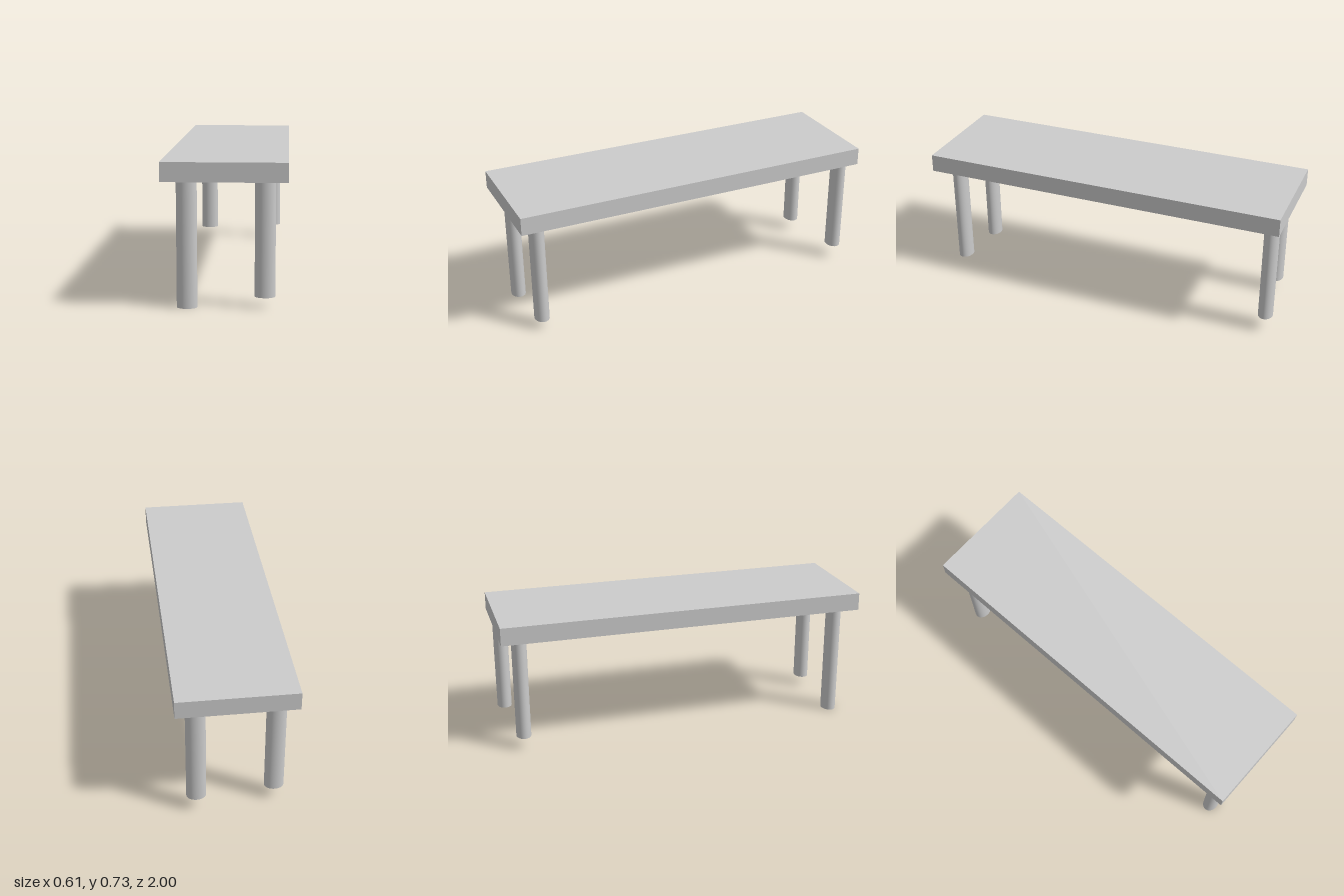
import * as THREE from 'three';

const TOP = 0.729, UNDER = 0.633;

export function createModel() {
  const model = new THREE.Group();
  model.name = 'table';
  const material = new THREE.MeshStandardMaterial({ color: 0xcccccc });

  // Flat slab
  const slab = new THREE.Mesh(new THREE.BoxGeometry(0.614, TOP - UNDER, 2), material);
  slab.name = 'tableTop';
  slab.position.y = (TOP + UNDER) / 2;
  model.add(slab);

  // Uneven oval legs: name, x, z, height of the foot
  const legs = [
    ['frontRightLeg', -0.188, 0.904, 0],
    ['frontLeftLeg', 0.195, 0.891, 0.055],
    ['backRightLeg', -0.207, -0.896, 0.071],
    ['backLeftLeg', 0.202, -0.941, 0.082],
  ];
  for (const [name, x, z, foot] of legs) {
    const leg = new THREE.Mesh(new THREE.CylinderGeometry(1, 1, UNDER - foot, 32), material);
    leg.name = name;
    leg.scale.set(0.051, 1, 0.04);
    leg.position.set(x, (UNDER + foot) / 2, z);
    model.add(leg);
  }
  return model;
}
